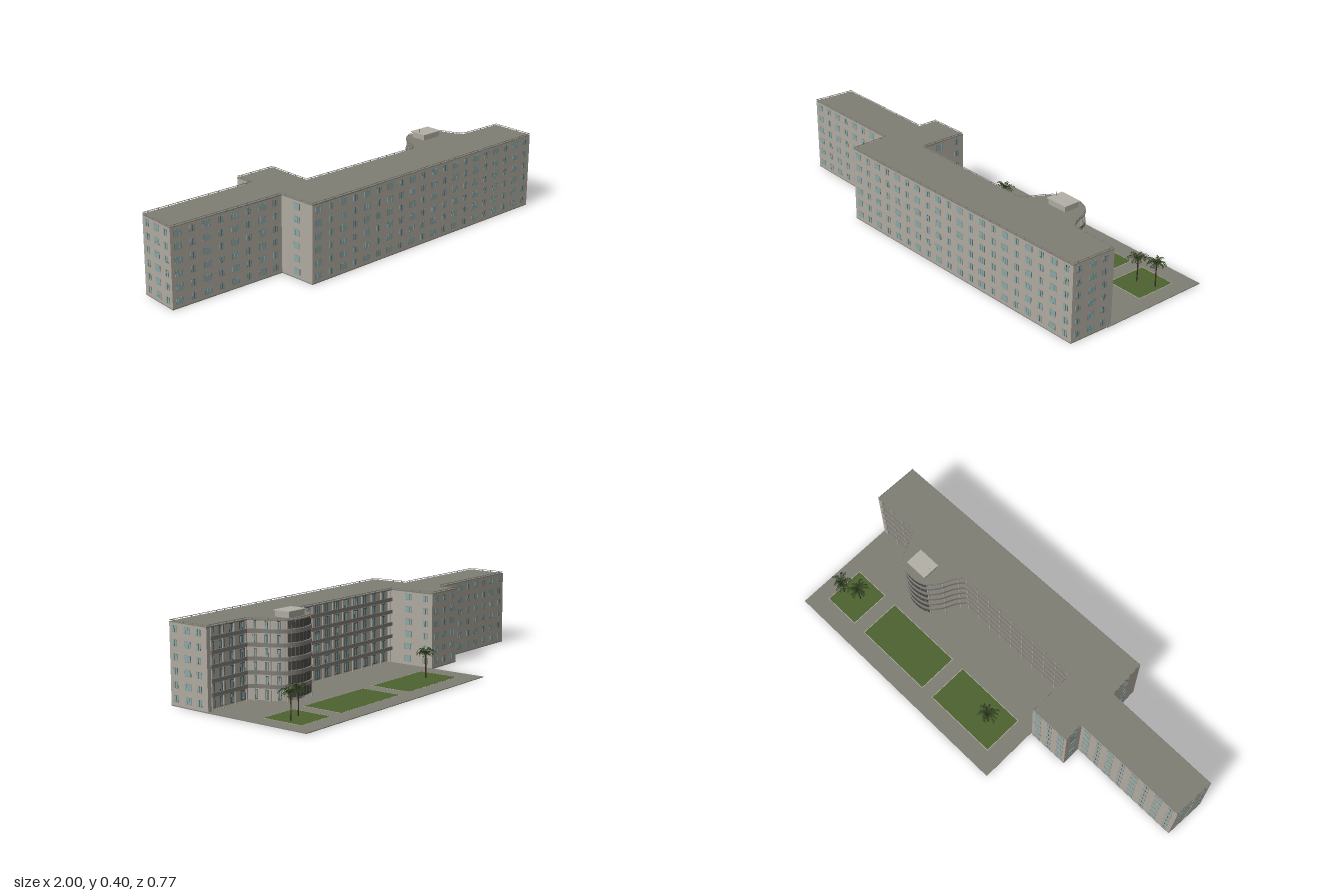
import * as THREE from 'three';
import { mergeGeometries } from 'three/addons/utils/BufferGeometryUtils.js';

const mat = (name, color, side = THREE.FrontSide) => {
  const m = new THREE.MeshStandardMaterial({ color, side });
  m.name = name;
  return m;
};

export function createModel() {
  const M = {
    wall: mat('facade plaster', 0xb0aaa0),
    roof: mat('roof grey', 0x7f7e75),
    band: mat('balcony grey', 0x817e78),
    frame: mat('dark frame', 0x4b4a46),
    glass: mat('window glass', 0x8aa8a8),
    lawn: mat('lawn green', 0x4e6230),
    curb: mat('light curb', 0xb2b0a6),
    trunk: mat('palm trunk', 0x3b3023),
    leaf: mat('palm leaf', 0x2c3a1e, THREE.DoubleSide),
  };
  const model = new THREE.Group();
  model.name = 'buildingAndGarden';
  const add = (name, geo, material, parent = model) => {
    const mesh = new THREE.Mesh(geo, material);
    mesh.name = name;
    parent.add(mesh);
    return mesh;
  };
  const box = (w, h, d, x, y, z) => new THREE.BoxGeometry(w, h, d).translate(x, y, z);
  // Vertical prism over a floor outline of [x, z] points
  const prism = (pts, y0, y1) => {
    const shape = new THREE.Shape(pts.map(([x, z]) => new THREE.Vector2(x, -z)));
    return new THREE.ExtrudeGeometry(shape, { depth: y1 - y0, bevelEnabled: false })
      .rotateX(-Math.PI / 2).translate(0, y0, 0);
  };

  // Floor outlines; the rounded bay is listed from right to left
  const FLOORS = 6, STEP = 0.0583, TOP = 0.351;
  const bayCurve = new THREE.CatmullRomCurve3([
    [0.765, 0.13], [0.738, 0.09], [0.712, 0.025], [0.67, -0.018], [0.6, -0.035],
    [0.53, -0.018], [0.488, 0.025], [0.455, 0.09], [0.425, 0.13],
  ].map(([x, z]) => new THREE.Vector3(x, 0, z)));
  const bay = bayCurve.getPoints(28).map(p => [p.x, p.z]);
  const inset = (k, d) => bay.map(([x, z]) => [0.595 + (x - 0.595) * k, z + d]);
  const bayWall = inset(0.82, 0.03);
  const front = [[-1, 0.2], [-0.43, 0.2], [-0.42, 0.383], [0.99, 0.35], [0.995, 0.135]];
  const rear = [[-0.23, -0.098], [-0.43, -0.095], [-0.43, 0], [-0.99, 0]];
  const wallLine = [...front, [0.975, 0.135], [0.975, 0.16], ...bayWall, [-0.23, 0.16], ...rear];
  const roofLine = [...front, ...bay, [-0.23, 0.13], ...rear];
  const gallery = [[0.975, 0.13], ...bay, [-0.23, 0.13]];

  add('walls', prism(wallLine, 0.004, TOP), M.wall);
  add('plinth', prism(wallLine, 0, 0.004), M.band);
  add('roof', prism(roofLine, 0.349, 0.354), M.roof);

  // Boxes set along an edge a -> b, with local +z pointing outside
  const onEdge = (geo, a, b, t) => {
    const dx = b[0] - a[0], dz = b[1] - a[1];
    return geo.rotateY(Math.atan2(-dz, dx)).translate(a[0] + dx * t, 0, a[1] + dz * t);
  };
  const length = (a, b) => Math.hypot(b[0] - a[0], b[1] - a[1]);

  // Roof rail with posts
  const rail = [];
  roofLine.forEach((a, i) => {
    const b = roofLine[(i + 1) % roofLine.length], len = length(a, b);
    rail.push(onEdge(box(len, 0.002, 0.002, 0, 0.36, -0.003), a, b, 0.5));
    const n = Math.max(1, Math.round(len / 0.05));
    for (let k = 0; k < n; k++) rail.push(onEdge(box(0.003, 0.006, 0.002, 0, 0.356, -0.003), a, b, (k + 0.5) / n));
  });
  add('roofRail', mergeGeometries(rail), M.band);

  // Windows: wide three-pane ones alternate with narrow split pairs
  const frames = [], panes = [], mullions = [];
  const addWindows = (a, b, spots, firstSplit = 0) => {
    for (let f = 0; f < FLOORS; f++) {
      const y = 0.034 + f * STEP;
      spots.forEach((t, i) => {
        const split = (i + firstSplit) % 2 === 1;
        const parts = split ? [[-0.0065, 0.01], [0.0065, 0.01]] : [[-0.0125, 0.009], [0, 0.0145], [0.0125, 0.009]];
        const w = split ? 0.026 : 0.037;
        frames.push(onEdge(box(w, 0.0285, 0.002, 0, y, 0), a, b, t));
        parts.forEach(([x, pw]) => panes.push(onEdge(box(pw, 0.026, 0.004, x, y, 0), a, b, t)));
        if (split) mullions.push(onEdge(box(0.002, 0.027, 0.005, 0, y, 0), a, b, t));
      });
    }
  };
  const even = n => Array.from({ length: n }, (_, i) => (i + 0.5) / n);
  addWindows(front[0], front[1], even(8));
  addWindows(front[2], front[3], even(20));
  addWindows(front[1], front[2], [0.5]);
  addWindows(front[3], front[4], [0.14, 0.48, 0.78], 1);
  addWindows([-0.23, 0.13], rear[0], [0.4, 0.83]);
  addWindows(rear[0], rear[1], even(3));
  addWindows(rear[1], rear[2], [0.5]);
  addWindows(rear[2], rear[3], even(8));
  addWindows(rear[3], front[0], even(3), 1);
  add('windowFrames', mergeGeometries(frames), M.band);
  add('windowMullions', mergeGeometries(mullions), M.frame);

  // Glazed doors along the galleries
  const doorFrames = [];
  const addDoors = (a, b, spots, w) => {
    for (let f = 0; f < FLOORS; f++) {
      const y = 0.03 + f * STEP;
      for (const t of spots) {
        doorFrames.push(onEdge(box(w, 0.042, 0.002, 0, y, 0), a, b, t));
        for (const x of [-0.23, 0.23]) panes.push(onEdge(box(w * 0.34, 0.036, 0.004, w * x, y, 0), a, b, t));
      }
    }
  };
  addDoors([0.975, 0.16], bayWall[0], even(4), 0.03);
  addDoors(bayWall[28], [-0.23, 0.16], even(10), 0.03);
  for (let i = 2; i < 27; i += 3) addDoors(bayWall[i], bayWall[i + 1], [0.5], 0.015);
  add('doorFrames', mergeGeometries(doorFrames), M.frame);
  add('windowPanes', mergeGeometries(panes), M.glass);

  // Galleries: a floor slab and a parapet on each upper storey
  const slabLine = [...gallery, [-0.23, 0.163], ...inset(0.8, 0.033).reverse(), [0.975, 0.163]];
  const parapetLine = [...gallery, [-0.23, 0.134], ...inset(0.98, 0.004).reverse(), [0.975, 0.134]];
  for (let f = 1; f < FLOORS; f++) {
    const y = 0.005 + f * STEP;
    add('gallerySlab', prism(slabLine, y, y + 0.004), M.band);
    add('galleryParapet', prism(parapetLine, y, y + 0.017), M.band);
  }

  // Dark glazing at the tip of the bay, storey by storey
  const tip = inset(0.97, 0.005), tipGlass = [];
  for (let i = 10; i < 18; i++) {
    const a = tip[i], b = tip[i + 1], w = length(a, b);
    for (let f = 0; f < FLOORS; f++)
      tipGlass.push(onEdge(box(w * 0.88, 0.037, 0.002, 0, 0.0425 + f * STEP, 0), a, b, 0.5));
  }
  add('bayGlazing', mergeGeometries(tipGlass), M.frame);

  // Gallery columns
  const columns = [];
  const column = (x, z) => columns.push(new THREE.CylinderGeometry(0.0035, 0.0035, TOP, 8).translate(x, TOP / 2, z));
  for (let i = 0; i <= 9; i++) column(-0.215 + i * 0.07, 0.135);
  for (let i = 0; i <= 3; i++) column(0.77 + i * 0.067, 0.135);
  for (const i of [2, 6, 10, 18, 22, 26]) column(...tip[i]);
  add('galleryColumns', mergeGeometries(columns), M.wall);

  // Roof house with cap and mast
  add('roofHouse', box(0.1, 0.028, 0.075, 0.6, 0.366, 0.04), M.wall);
  add('roofHouseCap', box(0.112, 0.004, 0.086, 0.6, 0.381, 0.04), M.curb);
  add('mast', new THREE.CylinderGeometry(0.0005, 0.0005, 0.018, 5).translate(0.555, 0.391, 0.04), M.frame);

  // Courtyard and lawns
  add('courtyard', box(1.225, 0.003, 0.545, 0.3875, 0.0035, -0.1125), M.roof);
  for (const [x0, x1] of [[-0.14, 0.22], [0.29, 0.68], [0.75, 0.925]]) {
    const w = x1 - x0, x = (x0 + x1) / 2;
    add('lawnCurb', box(w + 0.006, 0.0006, 0.201, x, 0.0051, -0.1975), M.curb);
    add('lawn', box(w, 0.0008, 0.195, x, 0.0054, -0.1975), M.lawn);
  }

  // Palms: each frond is an arched rib with rows of hanging leaflets
  const palmCrown = () => {
    const v = [];
    for (let k = 0; k < 17; k++) {
      const ang = k * 2.4, reach = 0.042 + 0.01 * Math.sin(k * 1.7), lift = 0.008 + 0.026 * ((k * 5) % 7) / 7;
      const c = Math.cos(ang), s = Math.sin(ang);
      const at = (t, side, drop) => {
        const r = reach * t, y = lift * Math.sin(t * 2.3) - 0.013 * t * t - drop;
        return [r * c - side * s, y, r * s + side * c];
      };
      for (let i = 0; i < 9; i++) {
        const t = i / 9, u = (i + 1) / 9;
        v.push(...at(t, -0.001, 0), ...at(t, 0.001, 0), ...at(u, 0, 0));
        for (const side of [-1, 1])
          v.push(...at(t, 0, 0), ...at(t + 0.08, 0, 0), ...at(t + 0.15, side * 0.012 * (1.1 - t * 0.6), 0.006));
      }
    }
    const geo = new THREE.BufferGeometry();
    geo.setAttribute('position', new THREE.Float32BufferAttribute(v, 3));
    geo.computeVertexNormals();
    return geo;
  };
  [[-0.045, -0.195, 0.3], [0.82, -0.19, 1.4], [0.9, -0.22, 2.6]].forEach(([x, z, turn]) => {
    const palm = new THREE.Group();
    palm.name = 'palm';
    const path = new THREE.CatmullRomCurve3([[0, 0.004, 0], [0.002, 0.06, 0], [0, 0.118, 0]].map(p => new THREE.Vector3(...p)));
    add('palmTrunk', new THREE.TubeGeometry(path, 8, 0.0028, 7), M.trunk, palm);
    add('palmCrown', palmCrown(), M.leaf, palm).position.y = 0.116;
    palm.position.set(x, 0, z);
    palm.rotation.y = turn;
    model.add(palm);
  });
  return model;
}
